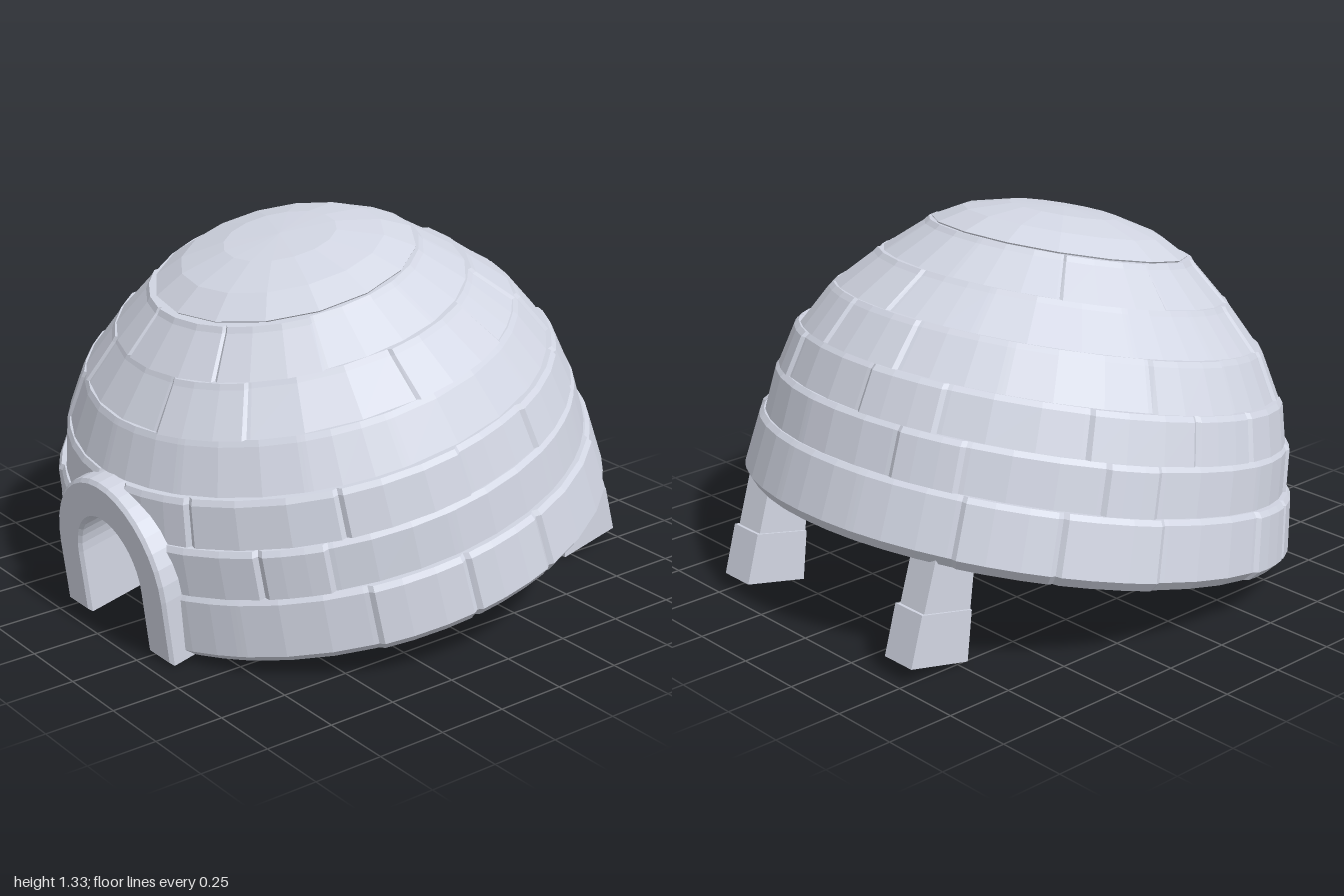
import * as THREE from 'three';

const snow = new THREE.MeshStandardMaterial({ color: 0xd2d6e3 });
snow.name = 'snow';

const DOOR_X = 0.03;
const DOME_Z = -0.03;

let seed = 11;
const rand = () => (seed = (seed * 16807) % 2147483647) / 2147483647;

// Faceted mesh: every face gets its own normal
function part(geometry, name, parent) {
  const g = geometry.index ? geometry.toNonIndexed() : geometry;
  g.computeVertexNormals();
  const mesh = new THREE.Mesh(g, snow);
  mesh.name = name;
  parent.add(mesh);
  return mesh;
}

// Sweeps a (radius, height) profile around the dome axis and caps both ends
function curvedBlock(profile, angles, grow) {
  const pos = [], index = [], n = profile.length, last = angles.length - 1;
  angles.forEach((a, k) => profile.forEach(([r, h], j) => {
    const inner = j === 0 || j === n - 1;
    const R = r + (inner ? 0 : grow[k]);
    pos.push(R * Math.sin(a), h, R * Math.cos(a));
  }));
  for (let k = 0; k < last; k++) {
    for (let j = 0; j < n; j++) {
      const j2 = (j + 1) % n;
      const a = k * n + j, b = (k + 1) * n + j, c = (k + 1) * n + j2, d = k * n + j2;
      index.push(a, b, c, a, c, d);
    }
  }
  for (let j = 1; j < n - 1; j++) {
    index.push(0, j, j + 1, last * n, last * n + j + 1, last * n + j);
  }
  const g = new THREE.BufferGeometry();
  g.setAttribute('position', new THREE.Float32BufferAttribute(pos, 3));
  g.setIndex(index);
  return g;
}

// Stepped courses of snow blocks: top height, top radius, block count, half angle of the door gap
function buildCourses(parent) {
  const courses = [
    [0.24, 0.965, 15, 0.28],
    [0.41, 0.93, 15, 0.25],
    [0.57, 0.875, 14, 0.09],
    [0.73, 0.775, 13, 0],
    [0.87, 0.635, 11, 0],
    [1.0, 0.485, 9, 0],
  ];
  let h0 = 0, r0 = 0.98;
  courses.forEach(([h1, r1, count, gap], row) => {
    const group = new THREE.Group();
    group.name = 'blockCourse' + (row + 1);
    parent.add(group);
    const profile = [[r0 - 0.12, h0], [r0 - 0.02, h0]];
    if (row === 0) profile.push([0.99, 0.035]);
    else profile[1][0] = r0;
    profile.push([r1, h1 - 0.018], [r1 - 0.014, h1], [r1 - 0.12, h1]);

    const start = gap ? gap + 0.03 : rand();
    const span = Math.PI * 2 - 2 * gap;
    const joints = [];
    for (let i = 0; i <= count; i++) {
      const jitter = i === 0 || i === count ? 0 : (rand() - 0.5) * 0.5;
      joints.push(start + span * (i + jitter) / count);
    }
    for (let i = 0; i < count; i++) {
      const a = joints[i], b = joints[i + 1], e = 0.018;
      const out = rand() < 0.4 ? 0.012 : 0;
      const t = (b - a) / 3;
      part(curvedBlock(profile, [a, a + e, a + t, b - t, b - e, b],
        [0, out, out, out, out, 0]), 'snowBlock', group);
    }
    h0 = h1;
    r0 = r1 - 0.02;
  });
}

// Arched entrance frame, leaning back slightly toward the top
function buildDoorFrame(parent) {
  const bottom = 0.012, spring = 0.24, ro = 0.32, ri = 0.2;
  const s = new THREE.Shape();
  s.moveTo(ro, bottom);
  s.lineTo(ro, spring);
  s.absarc(0, spring, ro, 0, Math.PI, false);
  s.lineTo(-ro, bottom);
  s.lineTo(-ri, bottom);
  s.lineTo(-ri, spring);
  s.absarc(0, spring, ri, Math.PI, 0, true);
  s.lineTo(ri, bottom);
  const g = new THREE.ExtrudeGeometry(s, {
    depth: 0.26, curveSegments: 9, bevelSize: 0.012, bevelThickness: 0.012, bevelSegments: 1,
  });
  g.translate(DOOR_X, 0, 0.683);
  const p = g.attributes.position;
  for (let i = 0; i < p.count; i++) p.setZ(i, p.getZ(i) - 0.1 * p.getY(i));
  part(g, 'doorFrame', parent);
}

// Floor disc with a notch at the entrance
function buildFloor(parent) {
  const s = new THREE.Shape();
  const front = -Math.PI / 2;
  s.absarc(0, -DOME_Z, 0.9, front + 0.23, front + Math.PI * 2 - 0.19, false);
  s.lineTo(DOOR_X - 0.19, -0.68);
  s.lineTo(DOOR_X + 0.19, -0.68);
  const g = new THREE.ExtrudeGeometry(s, { depth: 0.03, bevelEnabled: false, curveSegments: 32 });
  g.rotateX(-Math.PI / 2);
  part(g, 'floor', parent);

  // Shallow bricks standing out of the underside: x, z, width, depth
  const bricks = [
    [0.55, 0.3, 0.3, 0.22], [0.42, 0.05, 0.26, 0.2], [0.6, -0.15, 0.28, 0.18],
    [0.25, 0.3, 0.22, 0.24], [0.02, 0.25, 0.2, 0.3], [0.12, 0.0, 0.24, 0.18],
    [-0.5, 0.25, 0.3, 0.2], [-0.62, 0.02, 0.24, 0.22], [-0.4, -0.12, 0.2, 0.26],
  ];
  for (const [x, z, w, d] of bricks) {
    const brick = part(new THREE.BoxGeometry(w, 0.03, d), 'floorBrick', parent);
    brick.position.set(x, -0.002, z);
    brick.rotation.x = 0.05;
  }
}

// Two stubby legs propping up the back
function buildLeg(x, parent) {
  const leg = new THREE.Group();
  leg.name = x > 0 ? 'leftLeg' : 'rightLeg';
  leg.position.set(x, 0, 0);
  parent.add(leg);
  const block = (name, w, y0, y1, zBack0, zBack1, zFront0, zFront1) => {
    const g = new THREE.BoxGeometry(w, y1 - y0, 1);
    g.translate(0, (y0 + y1) / 2, 0);
    const p = g.attributes.position;
    for (let i = 0; i < p.count; i++) {
      const top = p.getY(i) > (y0 + y1) / 2;
      p.setZ(i, p.getZ(i) > 0 ? (top ? zFront1 : zFront0) : (top ? zBack1 : zBack0));
    }
    part(g, name, leg);
  };
  block('lowerLegBlock', 0.135, -0.354, -0.17, -0.9, -0.89, -0.65, -0.67);
  block('upperLegBlock', 0.12, -0.17, 0.04, -0.875, -0.86, -0.67, -0.69);
}

export function createModel() {
  const model = new THREE.Group();
  model.name = 'igloo';

  // The whole igloo tips forward onto its entrance
  const body = new THREE.Group();
  body.name = 'tiltedBody';
  body.position.y = 0.21;
  body.rotation.x = 0.219;
  model.add(body);

  const dome = new THREE.Group();
  dome.name = 'dome';
  dome.position.z = DOME_Z;
  body.add(dome);
  buildCourses(dome);

  // Shallow crown closing the top
  const crown = [[0, 0.96], [0.43, 0.96], [0.462, 1.005], [0.36, 1.06], [0.2, 1.1], [0, 1.11]];
  part(new THREE.LatheGeometry(crown.map(([r, h]) => new THREE.Vector2(r, h)), 16), 'crown', dome);

  buildDoorFrame(body);
  buildFloor(body);
  for (const x of [-0.44, 0.45]) buildLeg(x, body);
  return model;
}
